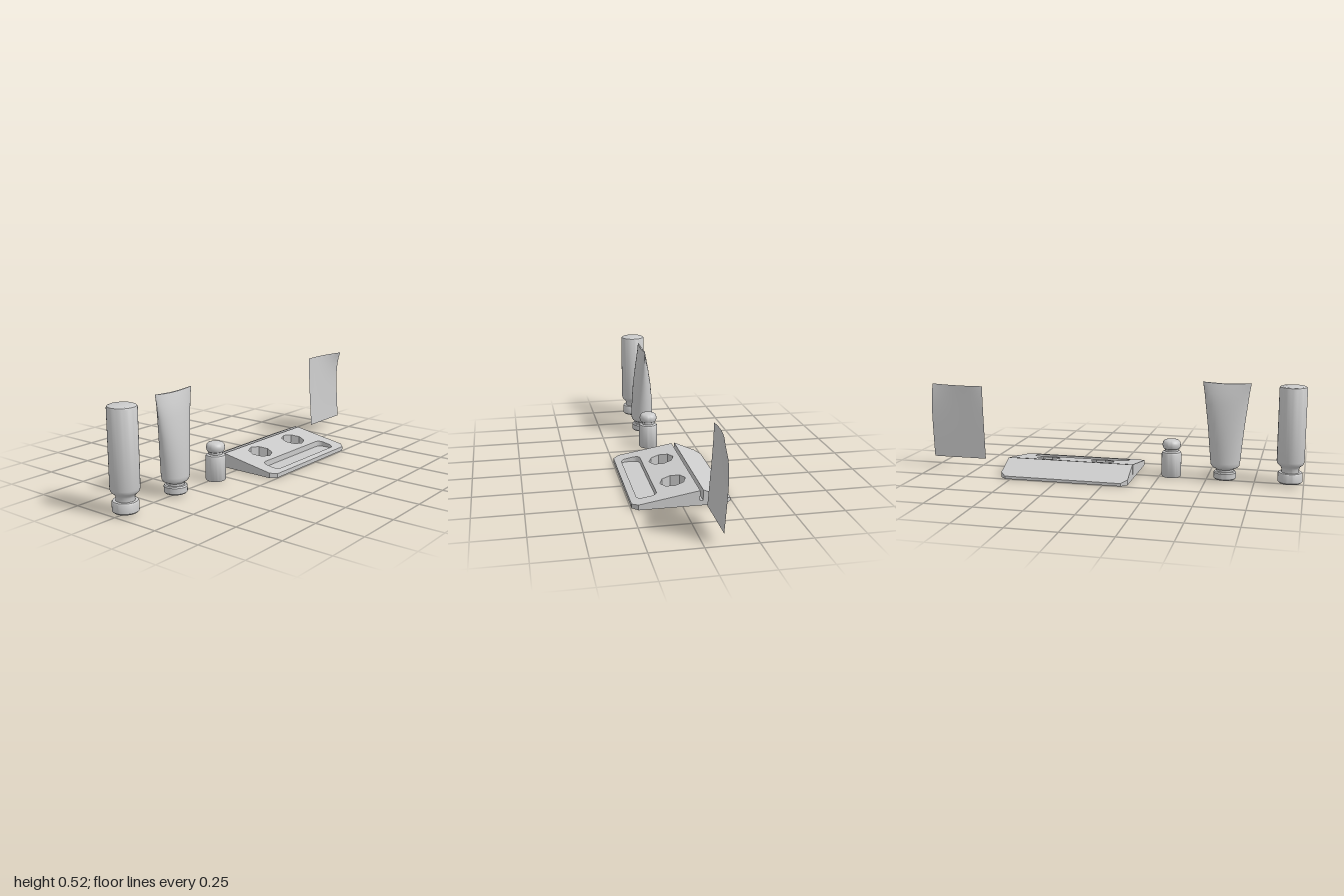
import * as THREE from 'three';
import { toCreasedNormals } from 'three/addons/utils/BufferGeometryUtils.js';

const solid = new THREE.MeshStandardMaterial({ color: 0xcccccc });
const thin = new THREE.MeshStandardMaterial({ color: 0xcccccc, side: THREE.DoubleSide });

function part(name, geometry, material = solid) {
  const mesh = new THREE.Mesh(geometry, material);
  mesh.name = name;
  return mesh;
}

function assembly(name, parts, x = 0, z = 0) {
  const group = new THREE.Group();
  group.name = name;
  group.add(...parts);
  group.position.set(x, 0, z);
  return group;
}

// Turned part from [radius, height] pairs
function turned(name, profile) {
  const points = profile.map(([r, y]) => new THREE.Vector2(r, y));
  return part(name, toCreasedNormals(new THREE.LatheGeometry(points, 40), 0.65));
}

// Upright wall hanging from an [x, z] outline, between two height rules
function wall(name, outline, top, bottom) {
  const pos = [];
  for (let i = 0; i + 1 < outline.length; i++) {
    const [ax, az] = outline[i], [bx, bz] = outline[i + 1];
    const a = [ax, bottom, az], b = [bx, bottom, bz];
    const c = [bx, top(bx), bz], d = [ax, top(ax), az];
    pos.push(...a, ...b, ...c, ...a, ...c, ...d);
  }
  const g = new THREE.BufferGeometry();
  g.setAttribute('position', new THREE.Float32BufferAttribute(pos, 3));
  g.computeVertexNormals();
  return part(name, g, thin);
}

// Flat panel over an [x, z] outline, raised to a height rule
function panel(name, outline, height, holes = []) {
  const to2D = (pts) => pts.map(([x, z]) => new THREE.Vector2(x, -z));
  const shape = new THREE.Shape(to2D(outline));
  holes.forEach((h) => shape.holes.push(new THREE.Path(to2D(h))));
  const g = new THREE.ShapeGeometry(shape);
  g.rotateX(-Math.PI / 2);
  const p = g.attributes.position;
  for (let i = 0; i < p.count; i++) p.setY(i, height(p.getX(i)));
  g.computeVertexNormals();
  return part(name, g, thin);
}

function createBottle() {
  return assembly('bottle', [
    turned('bottleCap', [[0, 0.011], [0.056, 0.011], [0.063, 0.018], [0.063, 0.06], [0.059, 0.066], [0.044, 0.067]]),
    turned('bottleBody', [[0.045, 0.066], [0.045, 0.085], [0.05, 0.096], [0.063, 0.107], [0.068, 0.115],
      [0.07, 0.125], [0.07, 0.5], [0.067, 0.507], [0.06, 0.51], [0, 0.51]]),
  ], 0, 0.93);
}

// Squeeze tube: round at the shoulder, pressed flat and wide at the crimp
function createTube() {
  const ys = [0.064, 0.074, 0.083, 0.1, 0.2, 0.3, 0.4, 0.46, 0.51];
  const halfZ = [0.044, 0.066, 0.074, 0.077, 0.086, 0.096, 0.108, 0.115, 0.124];
  const halfX = [0.044, 0.056, 0.061, 0.063, 0.059, 0.05, 0.034, 0.021, 0.005];
  const rows = ys.length - 1;
  const g = new THREE.CylinderGeometry(1, 1, rows, 40, rows);
  const p = g.attributes.position;
  for (let i = 0; i < p.count; i++) {
    const row = Math.round(p.getY(i) + rows / 2);
    const z = p.getZ(i);
    const dip = row === rows ? 0.007 * z * z : 0;
    p.setXYZ(i, p.getX(i) * halfX[row], ys[row] + dip, z * halfZ[row]);
  }
  g.computeVertexNormals();
  return assembly('squeezeTube', [
    part('tubeBody', g),
    turned('tubeCap', [[0, 0.011], [0.053, 0.011], [0.058, 0.017], [0.058, 0.046], [0.053, 0.052],
      [0.044, 0.053], [0.044, 0.066]]),
  ], 0, 0.597);
}

function createJar() {
  return assembly('jar', [
    turned('jarBody', [[0, 0.003], [0.049, 0.003], [0.052, 0.008], [0.052, 0.127], [0.048, 0.135],
      [0.036, 0.14], [0.036, 0.152]]),
    turned('jarStopper', [[0.034, 0.15], [0.043, 0.155], [0.047, 0.165], [0.048, 0.177], [0.045, 0.19],
      [0.037, 0.198], [0.025, 0.201], [0, 0.202]]),
  ], 0.013, 0.312);
}

// Hollow tray with a sloping deck, a card groove, two wells and a long slot
function createTray() {
  const back = -0.56, front = 0.125, side = 0.245, cut = 0.03;
  const grooveL = -0.1, grooveR = -0.085, grooveY = 0.025;
  const leftSlope = (x) => 0.015 + (x + side) * 0.065 / 0.145;
  const rightSlope = (x) => 0.077 - (x - grooveR) * 0.055 / 0.33;
  const level = (y) => () => y;

  const edge = (inner, s) => [[inner, front], [s * (side - cut), front], [s * side, front - cut],
    [s * side, back + cut], [s * (side - cut), back], [inner, back]];
  const narrow = edge(grooveL, -1), wide = edge(grooveR, 1);

  const well = (cz) => Array.from({ length: 8 }, (_, i) => {
    const a = i * Math.PI / 4;
    return [0.011 + 0.065 * Math.cos(a), cz + 0.065 * Math.sin(a)];
  });
  const slot = [];
  for (let i = 0; i < 20; i++) {
    const q = Math.floor(i / 5), a = (q + (i % 5) / 4) * Math.PI / 2;
    const sx = q === 0 || q === 3 ? 1 : -1, sz = q < 2 ? 1 : -1;
    slot.push([0.161 + sx * 0.02 + 0.03 * Math.cos(a), -0.22 + sz * 0.24 + 0.03 * Math.sin(a)]);
  }
  const pockets = [['frontWell', well(-0.065), 0.006], ['backWell', well(-0.37), 0.006], ['slot', slot, 0.014]];

  const parts = [
    panel('narrowDeck', narrow, leftSlope),
    panel('wideDeck', wide, rightSlope, pockets.map((k) => k[1])),
    wall('narrowSkirt', narrow, leftSlope, 0),
    wall('wideSkirt', wide, rightSlope, 0),
    panel('grooveFloor', [[grooveL, front], [grooveR, front], [grooveR, back], [grooveL, back]], level(grooveY)),
    wall('grooveNarrowSide', [[grooveL, front], [grooveL, back]], leftSlope, grooveY),
    wall('grooveWideSide', [[grooveR, front], [grooveR, back]], rightSlope, grooveY),
  ];
  for (const z of [front, back]) {
    parts.push(wall('grooveEnd', [[grooveL, z], [grooveR, z]], level(grooveY), 0));
  }
  for (const [name, outline, floor] of pockets) {
    parts.push(wall(name + 'Side', [...outline, outline[0]], rightSlope, floor));
    parts.push(panel(name + 'Floor', outline, level(floor)));
  }
  return assembly('tray', parts);
}

// Leaning card whose upper corners curl
function createCard() {
  const g = new THREE.PlaneGeometry(1, 1, 16, 20);
  const p = g.attributes.position;
  for (let i = 0; i < p.count; i++) {
    const s = p.getX(i) + 0.5, t = p.getY(i) + 0.5;
    const far = Math.max(0, (s - 0.2) / 0.8), near = Math.max(0, (0.2 - s) / 0.2);
    const curl = (0.037 * far * far + 0.006 * near * near) * t ** 5;
    p.setXYZ(i, -0.085 - 0.03 * t + curl, 0.06 + 0.405 * t, -0.7 - 0.3 * s);
  }
  g.computeVertexNormals();
  return part('card', g, thin);
}

export function createModel() {
  return assembly('counterSet', [createBottle(), createTube(), createJar(), createTray(), createCard()]);
}
